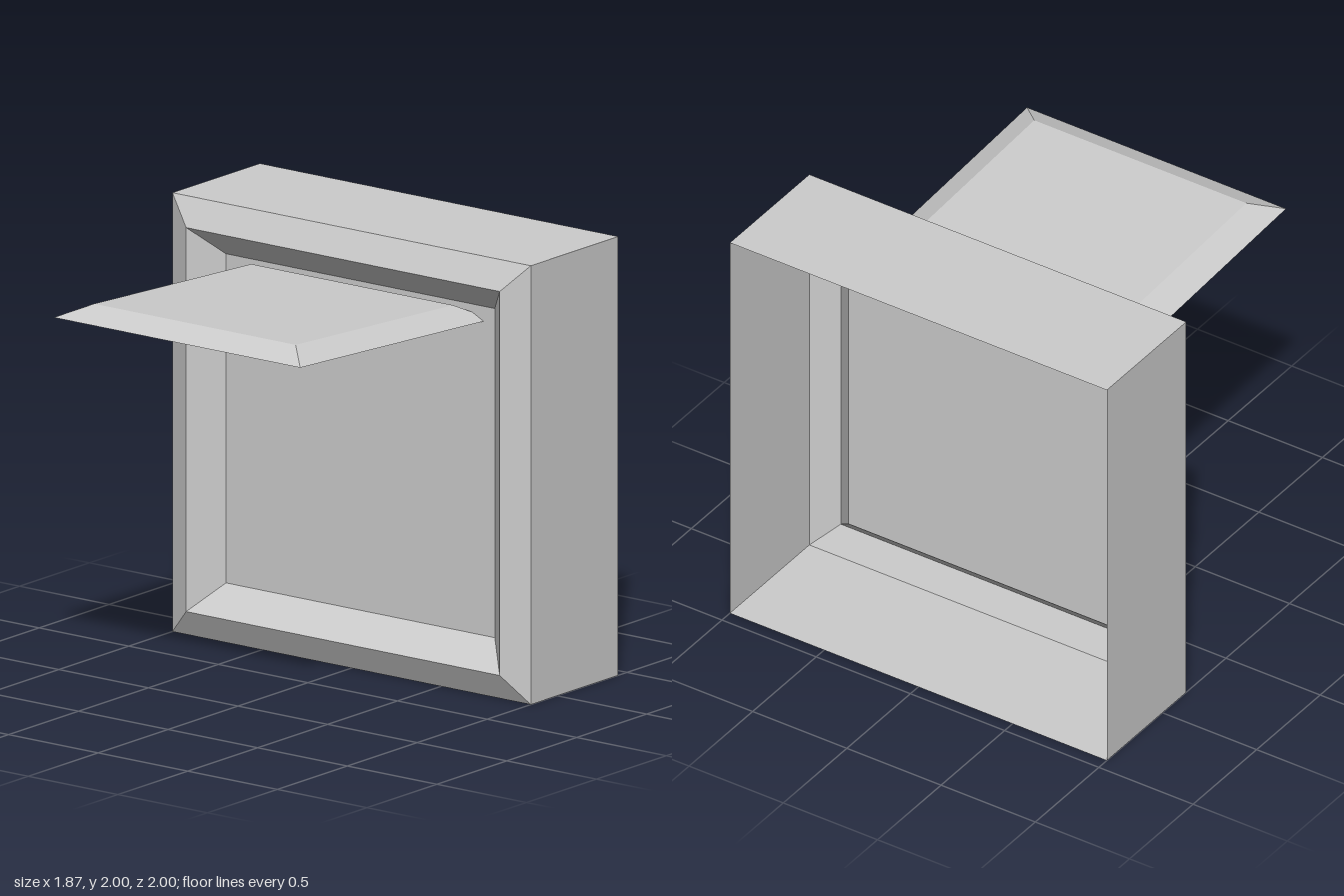
import * as THREE from 'three';

export function createModel() {
  const group = new THREE.Group();
  const shellMaterial = new THREE.MeshStandardMaterial({
    color: 0xcccccc, flatShading: true, side: THREE.DoubleSide,
  });
  const slabMaterial = new THREE.MeshStandardMaterial({ color: 0xcccccc, flatShading: true });

  // Thin square shell, open towards +x: [half width, x] from panel centre to open rim
  const profile = [[0, 0.375], [0.75, 0.375], [0.875, 0.25], [1, 0.3125], [1, 0.9375]]
    .map(([half, x]) => new THREE.Vector2(half * Math.SQRT2, x));
  const shell = new THREE.LatheGeometry(profile, 4, Math.PI / 4);
  shell.rotateZ(-Math.PI / 2);
  const frame = new THREE.Mesh(shell, shellMaterial);
  frame.name = 'frameWithRecessedPanel';
  frame.position.y = 1;
  group.add(frame);

  // Square slab with bevelled edges, slightly tilted and pushed through the panel
  const slab = new THREE.CylinderGeometry(
    0.5625 * Math.SQRT2, 0.6875 * Math.SQRT2, 0.0625, 4, 1, false, Math.PI / 4);
  slab.translate(0, 0.03125, 0);
  const shelf = new THREE.Mesh(slab, slabMaterial);
  shelf.name = 'tiltedShelf';
  shelf.position.set(-0.25, 1.714, 0);
  shelf.rotation.z = -0.052;
  group.add(shelf);

  return group;
}
